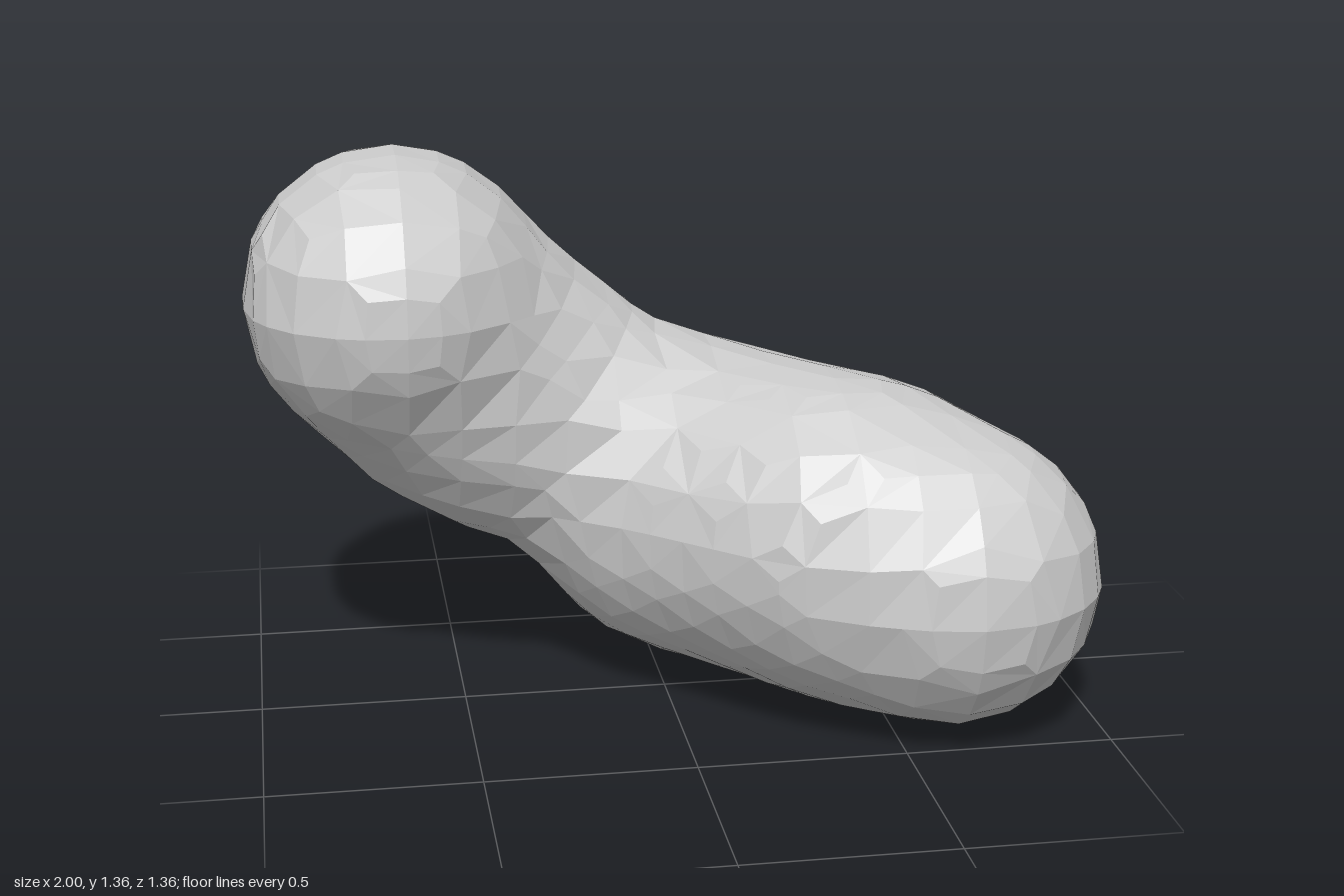
import * as THREE from 'three';

const V = (x, y, z) => new THREE.Vector3(x, y, z);

// Rounded limbs that melt together: start, end, radius
const limbs = [
  [V(-0.65, 1.0, -0.07), V(-0.65, 1.0, -0.16), 0.347], // raised knob
  [V(-0.6, 0.94, -0.2), V(0.03, 0.45, -0.2), 0.33], // neck
  [V(-0.47, 0.76, -0.21), V(-0.44, 0.74, -0.21), 0.33], // swelling under the neck
  [V(0.13, 0.37, -0.32), V(0.64, 0.37, 0.315), 0.361], // lying body
  [V(0.1, 0.46, -0.1), V(0.4, 0.445, 0.19), 0.383], // swelling on top and front of the body
  [V(0.5, 0.37, 0), V(0.52, 0.37, 0.02), 0.335], // swelling on the far side of the body
];
const BLEND = 0.12;

function capsule(p, [a, b, r]) {
  const ab = b.clone().sub(a);
  const t = THREE.MathUtils.clamp(p.clone().sub(a).dot(ab) / ab.lengthSq(), 0, 1);
  return p.distanceTo(ab.multiplyScalar(t).add(a)) - r;
}

// Signed distance to the blended blob
function field(p) {
  return limbs.map((l) => capsule(p, l)).reduce((m, d) => {
    const h = Math.max(BLEND - Math.abs(m - d), 0) / BLEND;
    return Math.min(m, d) - h * h * BLEND / 4;
  });
}

function gradient(p) {
  const e = 0.002;
  const slope = (d) => (field(p.clone().add(d)) - field(p.clone().sub(d))) / (2 * e);
  return V(slope(V(e, 0, 0)), slope(V(0, e, 0)), slope(V(0, 0, e)));
}

// Coarse grid mesh of the zero surface, one vertex per crossed cell
function blobGeometry() {
  const cell = 0.126;
  const origin = V(-1.197, -0.207, -0.885);
  const size = [20, 15, 15];
  const index = (c) => c[0] + size[0] * (c[1] + size[1] * c[2]);
  const point = (c) => V(...c).multiplyScalar(cell).add(origin);
  const cells = [];
  for (let z = 0; z < size[2]; z++)
    for (let y = 0; y < size[1]; y++)
      for (let x = 0; x < size[0]; x++) cells.push([x, y, z]);
  const values = cells.map((c) => field(point(c)));
  const inner = (c) => c.every((n, i) => n > 0 && n < size[i] - 1);

  // Vertices: mean of the edge crossings, pulled onto the surface
  const positions = [];
  const vertexOf = new Map();
  for (const c of cells) {
    if (c.some((n, i) => n >= size[i] - 1)) continue;
    const sum = V(0, 0, 0);
    let count = 0;
    for (let k = 0; k < 8; k++) {
      const p = [0, 1, 2].map((i) => c[i] + ((k >> i) & 1));
      for (let a = 0; a < 3; a++) {
        if ((k >> a) & 1) continue;
        const q = p.map((n, i) => n + (i === a ? 1 : 0));
        const f = values[index(p)], g = values[index(q)];
        if ((f < 0) === (g < 0)) continue;
        sum.add(point(p).lerp(point(q), f / (f - g)));
        count++;
      }
    }
    if (!count) continue;
    sum.divideScalar(count);
    for (let i = 0; i < 3; i++) {
      const n = gradient(sum);
      sum.addScaledVector(n, -field(sum) / Math.max(n.lengthSq(), 0.2));
    }
    vertexOf.set(index(c), positions.length / 3);
    positions.push(sum.x, sum.y, sum.z);
  }

  // Faces: one quad around every grid edge that crosses the surface
  const faces = [];
  for (const c of cells) {
    if (!inner(c)) continue;
    for (let a = 0; a < 3; a++) {
      const step = (u, v) => {
        const q = [...c];
        q[(a + 1) % 3] -= u;
        q[(a + 2) % 3] -= v;
        return vertexOf.get(index(q));
      };
      const next = c.map((n, i) => n + (i === a ? 1 : 0));
      const inside = values[index(c)] < 0;
      if (inside === values[index(next)] < 0) continue;
      const quad = [step(0, 0), step(1, 0), step(1, 1), step(0, 1)];
      if (!inside) quad.reverse();
      const [p, q, r, s] = quad;
      faces.push(p, q, r, p, r, s);
    }
  }

  const geometry = new THREE.BufferGeometry();
  geometry.setAttribute('position', new THREE.Float32BufferAttribute(positions, 3));
  geometry.setIndex(faces);
  geometry.computeVertexNormals();
  return geometry;
}

export function createModel() {
  const group = new THREE.Group();
  group.name = 'blob';
  const material = new THREE.MeshStandardMaterial({ color: 0xcccccc, flatShading: true });
  const body = new THREE.Mesh(blobGeometry(), material);
  body.name = 'blobBody';
  group.add(body);
  return group;
}
